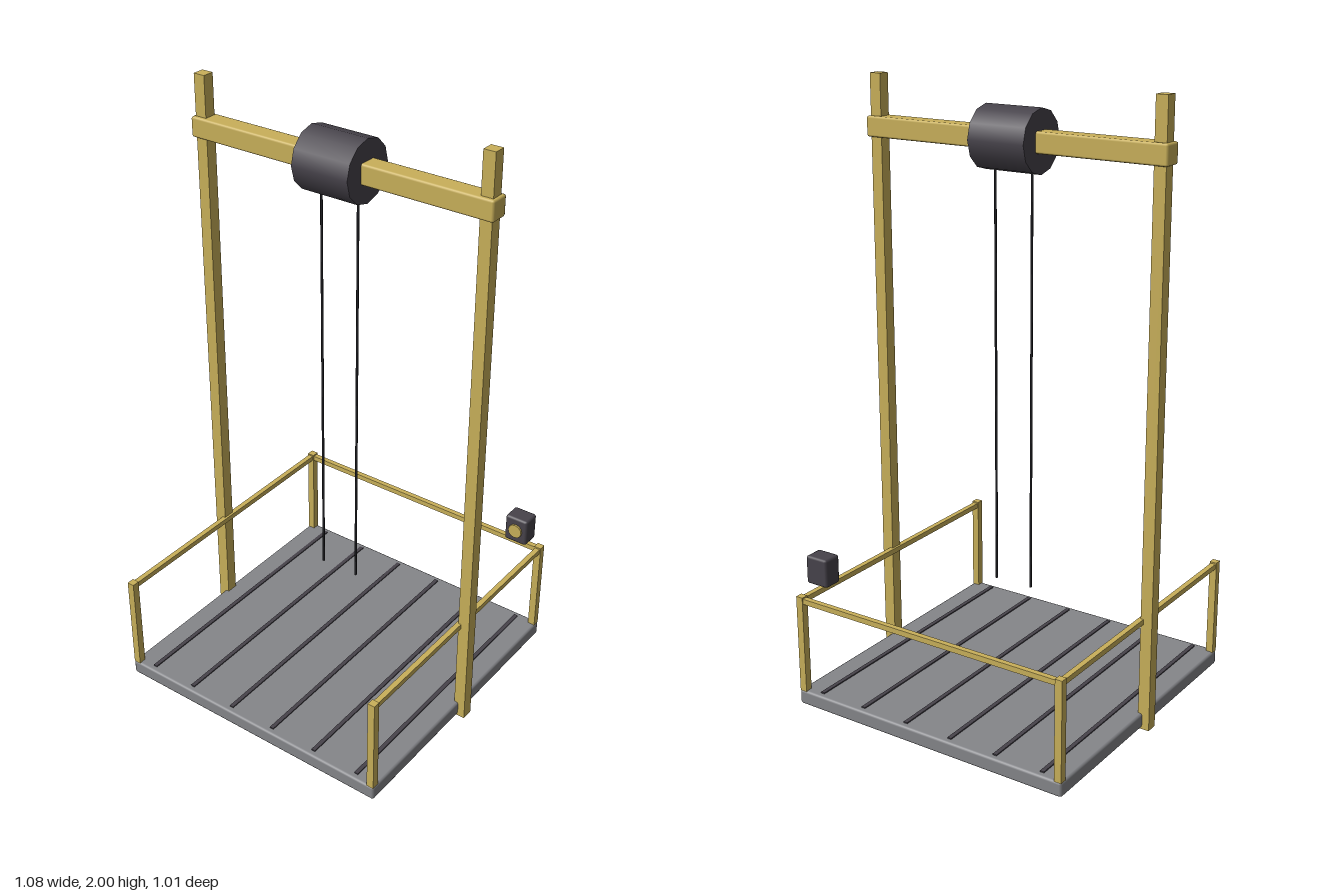
import * as THREE from 'three';
import { RoundedBoxGeometry } from 'three/addons/geometries/RoundedBoxGeometry.js';

const material = (name, color) => {
  const m = new THREE.MeshStandardMaterial({ color });
  m.name = name;
  return m;
};

export function createModel() {
  const model = new THREE.Group();
  model.name = 'platformLift';
  const yellow = material('yellowPaint', 0xc9b05a);
  const grey = material('greySteel', 0x85868a);
  const dark = material('darkSteel', 0x47434b);
  const black = material('blackCable', 0x222226);

  const add = (name, geometry, mat, x, y, z) => {
    const mesh = new THREE.Mesh(geometry, mat);
    mesh.name = name;
    mesh.position.set(x, y, z);
    model.add(mesh);
    return mesh;
  };
  // Box with optional chamfered edges
  const box = (name, mat, [w, h, d], [x, y, z], bevel = 0) => add(name,
    bevel ? new RoundedBoxGeometry(w, h, d, 1, bevel) : new THREE.BoxGeometry(w, h, d),
    mat, x, y, z);

  // Platform with grip strips running front to back
  box('platform', grey, [1.01, 0.05, 1.01], [0, 0.03, 0], 0.008);
  for (let i = 0; i < 6; i++) {
    box('gripStrip', dark, [0.014, 0.008, 0.97], [(i - 2.5) * 0.17, 0.055, 0]);
  }

  for (const side of [-1, 1]) {
    // Tall mast, lifting cable and side railing
    box('mast', yellow, [0.04, 2, 0.04], [side * 0.51, 1, 0]);
    add('cable', new THREE.CylinderGeometry(0.004, 0.004, 1.455, 8), black, side * 0.067, 1.1025, 0);
    box('sideRail', yellow, [0.018, 0.018, 0.985], [side * 0.491, 0.376, 0]);
    for (const end of [-1, 1]) {
      box('railPost', yellow, [0.025, 0.337, 0.025], [side * 0.491, 0.2215, end * 0.491]);
    }
  }
  box('backRail', yellow, [0.985, 0.018, 0.018], [0, 0.376, -0.491]);

  // Crossbeam carrying the winch drum
  box('crossbeam', yellow, [1.08, 0.066, 0.066], [0, 1.833, 0], 0.007);
  const drum = add('winchDrum', new THREE.CylinderGeometry(0.1, 0.1, 0.2, 12), dark, 0, 1.833, 0);
  drum.rotation.z = Math.PI / 2;

  // Control box above the back rail, with a round button
  box('controlBox', dark, [0.083, 0.096, 0.066], [0.439, 0.48, -0.442], 0.008);
  const button = add('button', new THREE.CylinderGeometry(0.025, 0.025, 0.016, 12), yellow, 0.439, 0.48, -0.41);
  button.rotation.x = Math.PI / 2;

  return model;
}
